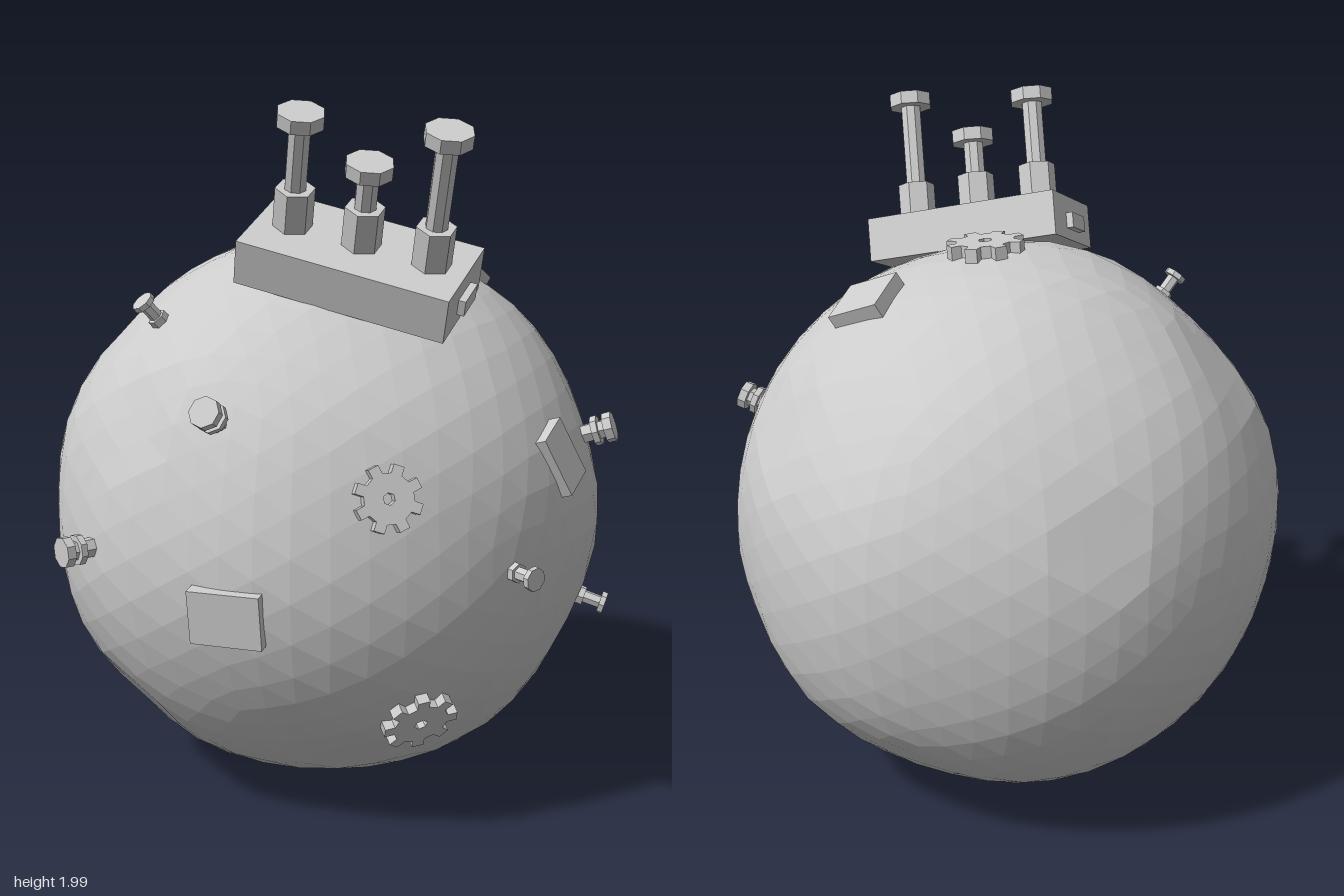
import * as THREE from 'three';

const CENTER = new THREE.Vector3(-0.03, 0.81, -0.015);
const UP = new THREE.Vector3(0, 1, 0);
const mat = new THREE.MeshStandardMaterial({ color: 0xcccccc, flatShading: true });

function add(parent, geo, name, x = 0, y = 0, z = 0) {
  const m = new THREE.Mesh(geo, mat);
  m.name = name;
  m.position.set(x, y, z);
  parent.add(m);
  return m;
}

// cylinder standing from y0 to y1
function post(parent, name, r, y0, y1, sides, x = 0) {
  return add(parent, new THREE.CylinderGeometry(r, r, y1 - y0, sides), name, x, (y0 + y1) / 2, 0);
}

// group whose local y points away from the ball; y = 0 is the ball centre
function radial(parent, name, x, y, z, spin = 0) {
  const g = new THREE.Group();
  g.name = name;
  const dir = new THREE.Vector3(x, y, z).sub(CENTER).normalize();
  g.quaternion.setFromUnitVectors(UP, dir)
    .multiply(new THREE.Quaternion().setFromAxisAngle(UP, spin));
  g.position.copy(CENTER);
  parent.add(g);
  return g;
}

// roughly hewn ball: gentle waves and a few flattened spots
function ballGeometry() {
  const geo = new THREE.IcosahedronGeometry(1, 8);
  const dents = [[0.33, -0.94, 0.1, 0.775], [-0.45, -0.88, 0.1, 0.782], [-0.75, 0.66, 0.1, 0.785],
    [0.3, -0.75, 0.6, 0.785], [-0.5, -0.65, 0.6, 0.785], [0.6, 0.5, -0.65, 0.785], [-0.6, 0.3, -0.75, 0.788],
    [-0.4, 0.4, 0.82, 0.787], [0.1, -0.7, -0.7, 0.787], [0.85, -0.5, -0.2, 0.787]]
    .map(([x, y, z, d]) => [new THREE.Vector3(x, y, z).normalize(), d]);
  const p = geo.attributes.position;
  const v = new THREE.Vector3();
  for (let i = 0; i < p.count; i++) {
    v.fromBufferAttribute(p, i).normalize();
    let r = 0.802 + 0.005 * Math.sin(7 * v.x + 3 * v.y) + 0.004 * Math.sin(8 * v.y - 5 * v.z + 1)
      + 0.003 * Math.sin(13 * v.z + 9 * v.x);
    for (const [n, d] of dents) {
      const c = v.dot(n);
      if (c > 0.5) r = Math.min(r, d / c);
    }
    p.setXYZ(i, v.x * r, v.y * r, v.z * r);
  }
  geo.computeVertexNormals();
  return geo;
}

// eight-toothed wheel with a centre hole, lying on the ball
function gear(parent, x, y, z, r, spin) {
  const g = radial(parent, 'gear', x, y, z, spin);
  const s = new THREE.Shape();
  for (let i = 0; i < 8; i++) {
    const a = i * Math.PI / 4;
    const rim = r * 0.74;
    [[rim, -0.22], [r, -0.16], [r, 0.16], [rim, 0.22]].forEach(([q, o], k) => {
      const px = q * Math.cos(a + o), py = q * Math.sin(a + o);
      if (i + k === 0) s.moveTo(px, py); else s.lineTo(px, py);
    });
  }
  s.closePath();
  const hole = new THREE.Path();
  hole.absarc(0, 0, r * 0.18, 0, Math.PI * 2, true);
  s.holes.push(hole);
  const geo = new THREE.ExtrudeGeometry(s, { depth: 0.04, bevelEnabled: false, curveSegments: 3 });
  geo.rotateX(-Math.PI / 2);
  add(g, geo, 'gearWheel', 0, 0.788, 0);
}

export function createModel() {
  const model = new THREE.Group();
  model.name = 'ball machine';
  add(model, ballGeometry(), 'body', CENTER.x, CENTER.y, CENTER.z);

  // control block sitting tilted on the top front
  const block = new THREE.Group();
  block.name = 'controlBlock';
  const up = new THREE.Vector3(0.22, 0.9, 0.37).normalize();
  const side = new THREE.Vector3(0.97, -0.235, -0.03);
  side.addScaledVector(up, -side.dot(up)).normalize();
  block.quaternion.setFromRotationMatrix(
    new THREE.Matrix4().makeBasis(side, up, side.clone().cross(up)));
  block.position.set(0.18, 1.565, 0.30);
  model.add(block);
  add(block, new THREE.BoxGeometry(0.6, 0.13, 0.3), 'blockCase');
  for (const s of [-1, 1])
    add(block, new THREE.BoxGeometry(0.03, 0.045, 0.1), 'endButton', s * 0.305, -0.01, 0);

  // three plungers of different height
  [0.34, 0.25, 0.395].forEach((h, i) => {
    const x = (i - 1) * 0.2, y = 0.065;
    post(block, 'plungerSocket', 0.055, y, y + 0.115, 6, x);
    post(block, 'plungerStem', 0.031, y, y + h - 0.03, 8, x);
    post(block, 'plungerCap', 0.066, y + h - 0.038, y + h, 8, x);
  });

  // gears
  gear(model, 0.04, 1.62, -0.01, 0.113, 0);
  gear(model, 0.38, 1.02, 0.65, 0.09, 0.2);
  gear(model, 0.42, 0.37, 0.49, 0.105, 0.1);

  // plates
  [[-0.01, 0.70, 0.79, 0.2, 0.15, 0.03], [0.30, 1.52, -0.28, 0.17, 0.15, -0.1],
    [0.72, 1.05, 0.18, 0.18, 0.12, 0.15]].forEach(([x, y, z, w, d, spin]) => {
    const g = radial(model, 'plate', x, y, z, spin);
    add(g, new THREE.BoxGeometry(w, 0.05, d), 'platePanel', 0, 0.804, 0);
  });

  // large double-disc knobs
  [[-0.07, 1.22, 0.74], [-0.49, 0.81, 0.7], [0.78, 1.08, -0.07]].forEach(([x, y, z]) => {
    const g = radial(model, 'knob', x, y, z);
    post(g, 'knobStem', 0.028, 0.77, 0.88, 6);
    post(g, 'knobCollar', 0.043, 0.835, 0.853, 8);
    post(g, 'knobCap', 0.043, 0.87, 0.895, 8);
  });

  // small spool-shaped pegs
  [[-0.39, 1.44, 0.43], [0.69, 0.78, 0.42], [0.76, 0.57, -0.09]].forEach(([x, y, z]) => {
    const g = radial(model, 'peg', x, y, z);
    post(g, 'pegFoot', 0.028, 0.78, 0.815, 6);
    post(g, 'pegStem', 0.019, 0.77, 0.87, 6);
    post(g, 'pegCap', 0.033, 0.862, 0.878, 8);
  });
  return model;
}
